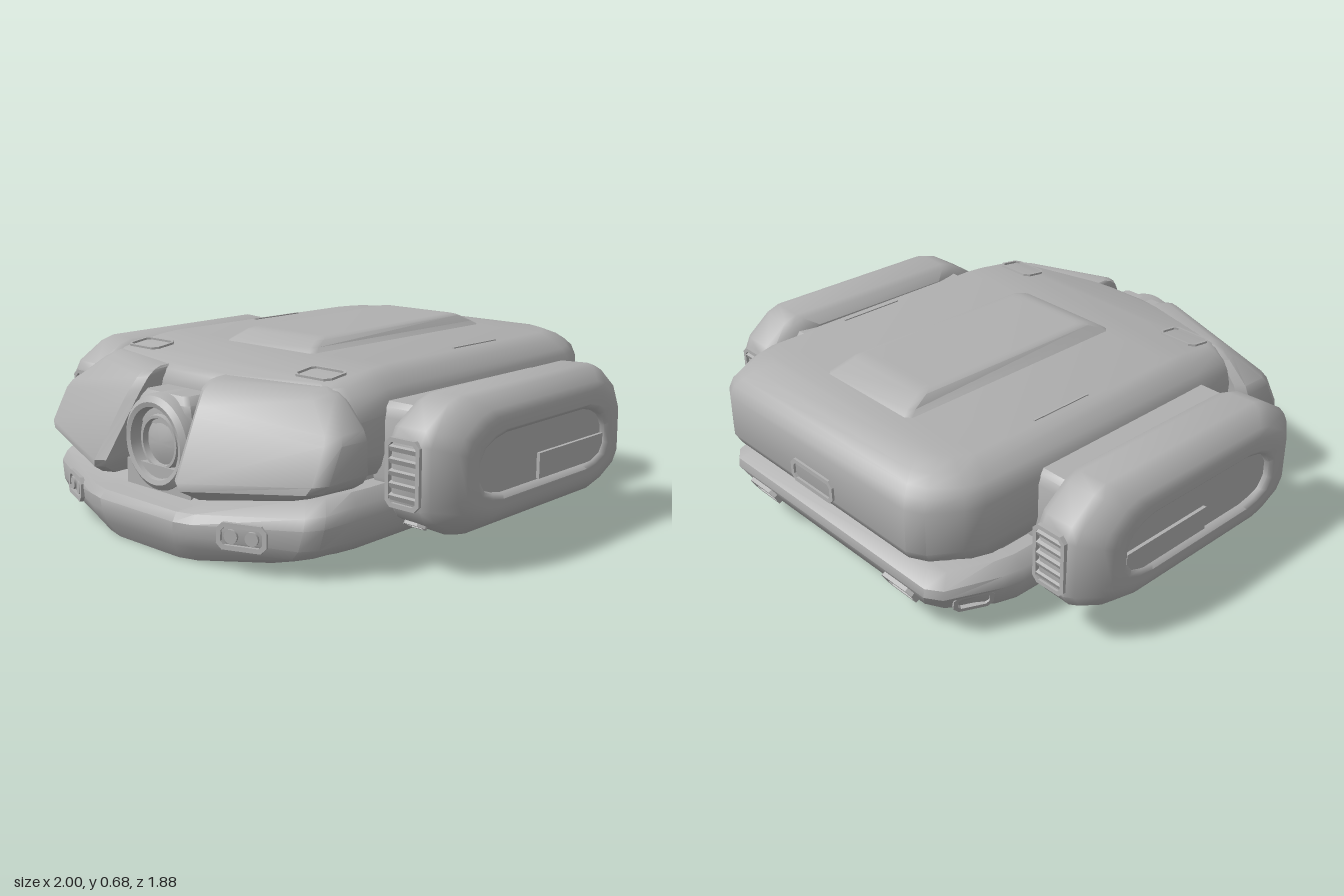
import * as THREE from 'three';
import { toCreasedNormals } from 'three/addons/utils/BufferGeometryUtils.js';

const grey = new THREE.MeshStandardMaterial({ color: 0xb0b0b0 });
grey.name = 'plain grey';

// Move from p towards q by at most d
const toward = (p, q, d) => {
  const len = Math.hypot(q[0] - p[0], q[1] - p[1], q[2] - p[2]) || 1;
  const t = Math.min(d / len, 0.4);
  return p.map((v, i) => v + (q[i] - v) * t);
};

// Skin a stack of rings, rounding their corners and the edges between rings
function loft(rings, corner = 0.04, edge = 0.025) {
  const cut = rings.map(r => r.flatMap((p, i) => [
    toward(p, r[(i + r.length - 1) % r.length], corner),
    toward(p, r[(i + 1) % r.length], corner)]));
  const stack = cut.flatMap((r, k) => (k === 0 || k === cut.length - 1) ? [r] : [
    r.map((p, i) => toward(p, cut[k - 1][i], edge)),
    r.map((p, i) => toward(p, cut[k + 1][i], edge))]);
  const n = stack[0].length, last = (stack.length - 1) * n, index = [];
  const quad = (a, b, c, d) => index.push(a, b, c, a, c, d);
  for (let k = 0; k < stack.length - 1; k++)
    for (let i = 0; i < n; i++) {
      const j = (i + 1) % n;
      quad(k * n + i, k * n + j, (k + 1) * n + j, (k + 1) * n + i);
    }
  for (let i = 0; i < n / 2 - 1; i++) {
    quad(last + i, last + i + 1, last + n - 2 - i, last + n - 1 - i);
    quad(n - 1 - i, n - 2 - i, i + 1, i);
  }
  const g = new THREE.BufferGeometry();
  g.setAttribute('position', new THREE.Float32BufferAttribute(stack.flat(2), 3));
  g.setIndex(index);
  return toCreasedNormals(g, 0.7);
}

// Close a +x half outline (front to back) with its mirror image
const both = half => [...half, ...half.map(([x, y, z]) => [-x, y, z]).reverse()];
// Swap a ring to the other side while keeping its winding
const swap = (ring, s) => s > 0 ? ring : ring.map(([x, y, z]) => [-x, y, z]).reverse();

// Rounded rectangular rim, facing +z
function rim(w, h, t, depth) {
  const path = (P, a, b, c) => {
    const p = new P();
    p.moveTo(-a + c, -b); p.lineTo(a - c, -b); p.lineTo(a, -b + c); p.lineTo(a, b - c);
    p.lineTo(a - c, b); p.lineTo(-a + c, b); p.lineTo(-a, b - c); p.lineTo(-a, -b + c);
    p.closePath();
    return p;
  };
  const s = path(THREE.Shape, w / 2, h / 2, 0.02);
  s.holes.push(path(THREE.Path, w / 2 - t, h / 2 - t, 0.012));
  return new THREE.ExtrudeGeometry(s, { depth, bevelEnabled: false });
}

export function createModel() {
  const model = new THREE.Group();
  const add = (name, geo, pos = [0, 0, 0], rot = [0, 0, 0]) => {
    const m = new THREE.Mesh(geo, grey);
    m.name = name;
    m.position.set(...pos);
    m.rotation.set(...rot, 'YXZ');
    model.add(m);
    return m;
  };
  const box = (name, size, pos, rot) => add(name, new THREE.BoxGeometry(...size), pos, rot);

  // Lower hull with the bumper line
  add('lowerHull', loft([
    [[.2, 0, .87], [.52, .03, .73], [.59, .03, .5], [.58, .03, -.6], [.45, .03, -.81]],
    [[.23, .08, .92], [.66, .08, .76], [.68, .08, .55], [.67, .08, -.65], [.52, .08, -.86]],
    [[.24, .17, .925], [.69, .2, .75], [.7, .2, .52], [.71, .2, -.65], [.6, .2, -.93]],
    [[.2, .19, .82], [.62, .255, .68], [.65, .255, .5], [.65, .255, -.65], [.55, .25, -.87]],
  ].map(both)));

  // Recessed seam between the hulls
  add('seamCore', loft([.18, .32].map(y =>
    both([[.15, y, .68], [.58, y, .55], [.6, y, -.65], [.5, y, -.83]]))));

  // Upper hull
  add('upperHull', loft([
    [[.15, .28, .66], [.6, .28, .53], [.62, .28, .3], [.62, .28, -.72], [.5, .28, -.87]],
    [[.15, .33, .68], [.64, .33, .55], [.65, .33, .3], [.65, .33, -.78], [.54, .33, -.945]],
    [[.15, .5, .68], [.65, .5, .55], [.65, .52, .3], [.65, .53, -.77], [.54, .54, -.945]],
    [[.14, .57, .67], [.6, .575, .55], [.61, .59, .3], [.61, .59, -.74], [.5, .6, -.89]],
    [[.13, .595, .64], [.54, .6, .53], [.55, .63, .3], [.54, .63, -.72], [.45, .635, -.8]],
  ].map(both)));

  // Raised spine panel on the roof
  add('roofPanel', loft([
    [[.25, .615, .3], [.25, .615, -.72]],
    [[.22, .64, .28], [.22, .64, -.69]],
    [[.195, .672, .21], [.195, .68, -.6]],
    [[.17, .675, .18], [.17, .683, -.57]],
  ].map(both), .02, .015));

  // Lens between the two front plates
  const profile = [[.17, 0], [.172, .22], [.165, .245], [.145, .26], [.128, .255], [.12, .215],
    [.1, .215], [.095, .235], [.085, .235], [.08, .215], [.045, .228], [0, .232]];
  const lens = new THREE.LatheGeometry(profile.map(p => new THREE.Vector2(...p)), 40);
  lens.rotateX(Math.PI / 2);
  add('lens', toCreasedNormals(lens, .6), [0, .36, .58]);
  add('lensHood', loft([
    [[.15, .42, .8], [.15, .42, .58]],
    [[.14, .49, .8], [.14, .49, .58]],
    [[.11, .53, .78], [.11, .53, .58]],
  ].map(both), .015, .015));
  box('lensCradle', [.34, .12, .2], [0, .22, .72]);

  for (const s of [1, -1]) {
    // Sloping front plate
    add('frontPlate', loft([
      [[.23, .215, .87], [.63, .27, .76], [.68, .28, .53], [.2, .23, .6]],
      [[.19, .26, .945], [.72, .31, .77], [.72, .31, .51], [.17, .29, .6]],
      [[.155, .5, .81], [.715, .46, .69], [.715, .46, .51], [.15, .5, .58]],
      [[.14, .575, .76], [.57, .57, .6], [.62, .57, .51], [.14, .585, .56]],
      [[.15, .59, .71], [.53, .59, .57], [.55, .59, .52], [.15, .595, .58]],
    ].map(r => swap(r, s)), .035, .02));

    // Bracket joining hull and pod
    add('podBracket', loft([.2, .25, .5, .53].map((y, k) => {
      const e = k % 3 ? 0 : .03;
      return swap([[.77, y, .38 - e], [.77, y, -.5 + e], [.58, y, -.5 + e], [.58, y, .38 - e]], s);
    }), .02, .02));

    // Side pod: an octagonal outline stepped outward, ending in a sunken panel
    const outline = [[.505, .2], [.35, .115], [-.47, .115], [-.63, .2],
      [-.625, .47], [-.48, .585], [.34, .58], [.505, .475]];
    const steps = [[.725, .84, .8], [.77, 1, .97], [.92, 1, 1], [.995, .82, .76],
      [1, .72, .55], [1, .67, .46], [.975, .65, .43]];
    const rings = steps.map(([x, sz, sy]) => outline.map(([z, y]) =>
      [x, .345 + (y - .345) * sy, -.06 + (z + .06) * sz]));
    add('sidePod', loft(rings.map(r => swap(r, s)), .03, .02));
    box('podInnerPlate', [.015, .09, .4], [s * .98, .295, -.23]);

    // Vents on both pod ends, with a small lamp below the front one
    for (const f of [1, -1]) {
      const z = f > 0 ? .5 : -.622, ry = f > 0 ? 0 : Math.PI;
      add('ventRim', rim(.14, .23, .015, .016), [s * .835, .345, z], [0, ry, 0]);
      for (let i = 0; i < 5; i++)
        box('ventSlat', [.11, .018, .02], [s * .835, .265 + i * .04, z + f * .003], [f * .4, 0, 0]);
    }
    add('podLamp', rim(.09, .05, .01, .012), [s * .835, .168, .44], [1.05, 0, 0]);

    // Bumper lamps, front and rear
    add('frontLampRim', rim(.18, .09, .016, .015), [s * .445, .128, .838], [-.06, s * .37, 0]);
    for (const d of [-.035, .035]) {
      const lamp = new THREE.CylinderGeometry(.024, .024, .02, 16).rotateX(Math.PI / 2);
      add('frontLamp', lamp, [s * .445 + d, .128, .842 - s * d * .38], [0, s * .37, 0]);
    }
    add('rearLampRim', rim(.16, .08, .015, .015), [s * .4, .135, -.893], [.55, Math.PI, 0]);
    add('cornerLampRim', rim(.14, .08, .015, .015), [s * .615, .135, -.765], [.25, s * 2.0, 0]);

    // Roof hatch rims and long roof seams
    add('roofHatchRim', rim(.17, .11, .01, .008), [s * .445, .61, .475], [-Math.PI / 2 + .13, 0, 0]);
    box('roofSeam', [.008, .008, .26], [s * .525, .63, -.27]);
  }

  // Grip at the rear
  add('rearGripRim', rim(.24, .09, .016, .014), [0, .39, -.94], [0, Math.PI, 0]);

  return model;
}
